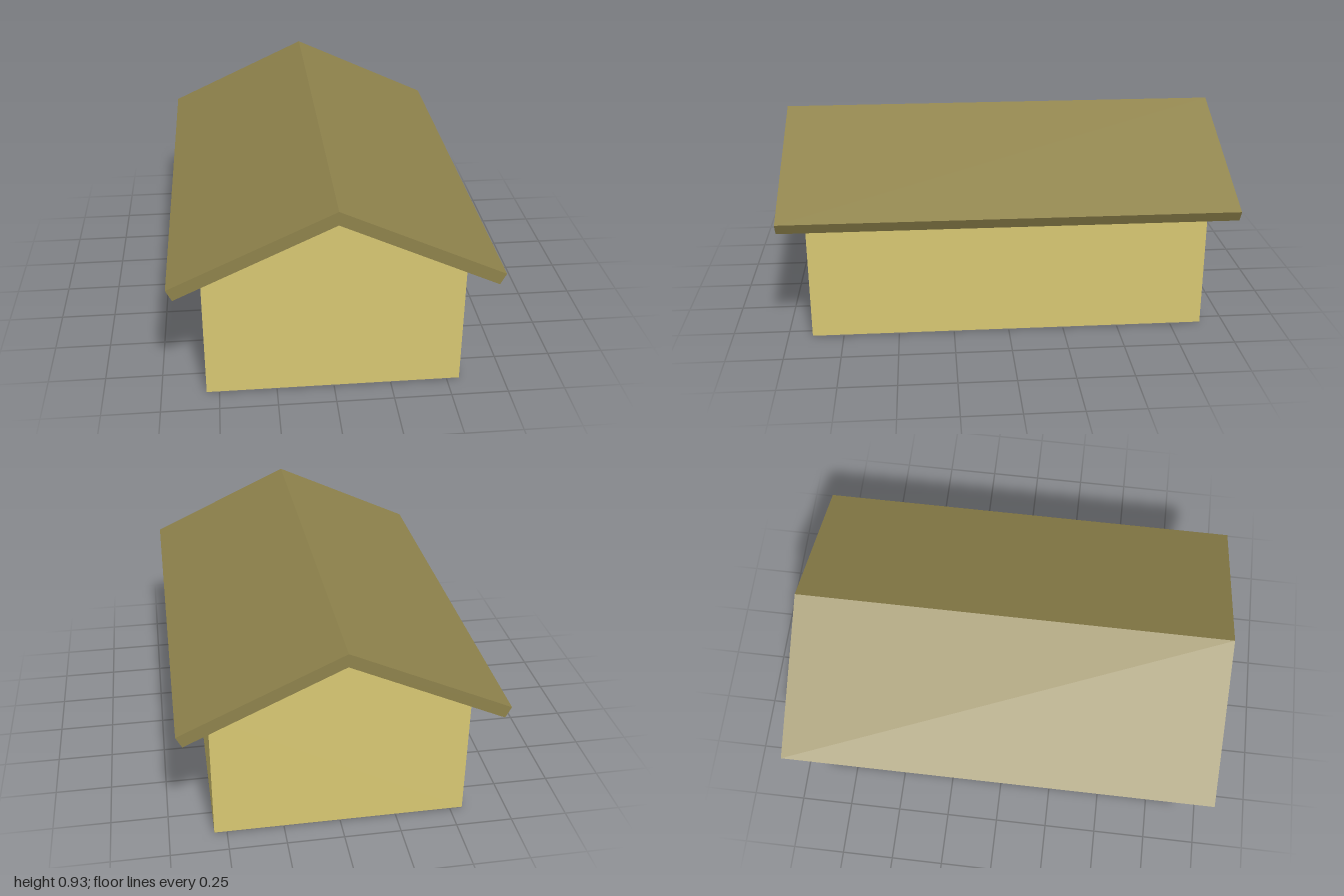
import * as THREE from 'three';

// Extrude a closed x/y outline along z, centred on z = 0
function prism(name, points, depth, color) {
  const shape = new THREE.Shape(points.map(([x, y]) => new THREE.Vector2(x, y)));
  const geometry = new THREE.ExtrudeGeometry(shape, { depth, bevelEnabled: false });
  geometry.translate(0, 0, -depth / 2);
  const mesh = new THREE.Mesh(geometry, new THREE.MeshStandardMaterial({ color }));
  mesh.name = name;
  return mesh;
}

export function createModel() {
  const group = new THREE.Group();
  group.name = 'house';

  const halfWidth = 0.555, wallDepth = 1.78;
  const wallTop = 0.606, ridgeUnder = 0.865, ridgeTop = 0.925;
  const floorTop = 0.004;

  // Thin floor plate
  const floor = new THREE.Mesh(
    new THREE.BoxGeometry(halfWidth * 2, floorTop, wallDepth),
    new THREE.MeshStandardMaterial({ color: 0x808080 })
  );
  floor.position.y = floorTop / 2;
  floor.name = 'floor';
  group.add(floor);

  // Walls with gabled ends
  group.add(prism('walls', [
    [-halfWidth, floorTop], [halfWidth, floorTop], [halfWidth, wallTop],
    [0, ridgeUnder], [-halfWidth, wallTop],
  ], wallDepth, 0xd9c873));

  // Pitched roof with overhanging eaves, cut square to the slope
  group.add(prism('roof', [
    [0, ridgeUnder], [0.665, 0.555], [0.69, 0.604],
    [0, ridgeTop], [-0.69, 0.604], [-0.665, 0.555],
  ], 2, 0x8f834c));

  return group;
}
